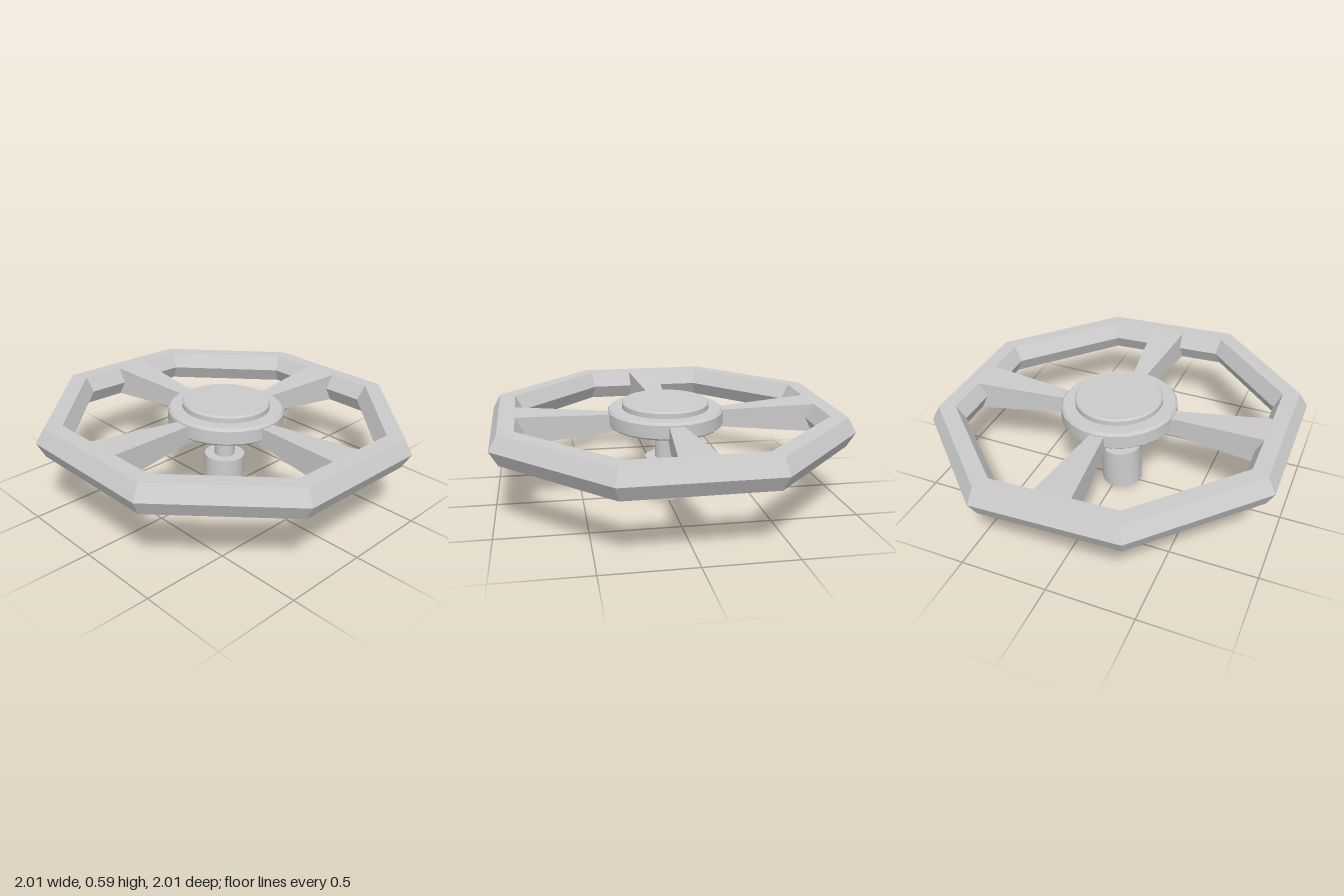
import * as THREE from 'three';
import { toCreasedNormals } from 'three/addons/utils/BufferGeometryUtils.js';

const smooth = new THREE.MeshStandardMaterial({ color: 0xcccccc });
const flat = new THREE.MeshStandardMaterial({ color: 0xcccccc, flatShading: true });

// Turned part from [radius, height] pairs listed bottom to top
function turned(name, profile, sides) {
  const points = profile.map(([r, y]) => new THREE.Vector2(r, y));
  const mesh = new THREE.Mesh(toCreasedNormals(new THREE.LatheGeometry(points, sides), 0.5), smooth);
  mesh.name = name;
  return mesh;
}

// Hexagonal section swept round an octagon; radii are given at the flats
function makeRim() {
  const section = [[0.82, 0], [0.865, -0.085], [0.955, -0.085], [1, 0], [0.955, 0.085], [0.865, 0.085], [0.82, 0]];
  const k = Math.cos(Math.PI / 8);
  const points = section.map(([r, y]) => new THREE.Vector2(r / k, y));
  const rim = new THREE.Mesh(new THREE.LatheGeometry(points, 8, Math.PI / 8), flat);
  rim.name = 'rim';
  return rim;
}

// Spoke along +z, tapering in width and height towards the hub
function makeSpoke() {
  const inner = 0.1, outer = 0.88;
  const geometry = new THREE.BoxGeometry(1, 1, 1);
  const p = geometry.attributes.position;
  for (let i = 0; i < p.count; i++) {
    const atRim = p.getZ(i) > 0;
    const top = p.getY(i) > 0;
    const width = atRim ? 0.208 : 0.03;
    const y = atRim ? (top ? 0.085 : -0.085) : (top ? 0.045 : -0.03);
    p.setXYZ(i, p.getX(i) * width, y, atRim ? outer : inner);
  }
  const spoke = new THREE.Mesh(geometry, flat);
  spoke.name = 'spoke';
  return spoke;
}

export function createModel() {
  const model = new THREE.Group();
  model.name = 'handWheel';

  // Whole wheel leans slightly, front side up
  const wheel = new THREE.Group();
  wheel.name = 'wheel';
  wheel.position.y = 0.468;
  wheel.rotation.set(-0.04, 0.01, 0);
  model.add(wheel);

  wheel.add(makeRim());
  for (let i = 0; i < 4; i++) {
    const spoke = makeSpoke();
    spoke.rotation.y = i * Math.PI / 2;
    wheel.add(spoke);
  }

  // Hub and stem on a common axis
  const hub = new THREE.Group();
  hub.name = 'hub';
  hub.position.x = 0.006;
  hub.add(
    turned('hubDisc', [[0, -0.02], [0.325, -0.02], [0.335, -0.01], [0.335, 0.065], [0.322, 0.08], [0, 0.08]], 24),
    turned('hubCap', [[0, 0.07], [0.252, 0.07], [0.252, 0.108], [0.243, 0.118], [0, 0.118]], 32),
    turned('flange', [[0, -0.078], [0.13, -0.078], [0.14, -0.07], [0.14, -0.015], [0, -0.015]], 32),
    turned('stem', [[0, -0.23], [0.06, -0.23], [0.06, -0.07], [0, -0.07]], 24),
    turned('sleeve', [[0, -0.463], [0.118, -0.463], [0.118, -0.222], [0, -0.222]], 32),
  );
  wheel.add(hub);
  return model;
}
